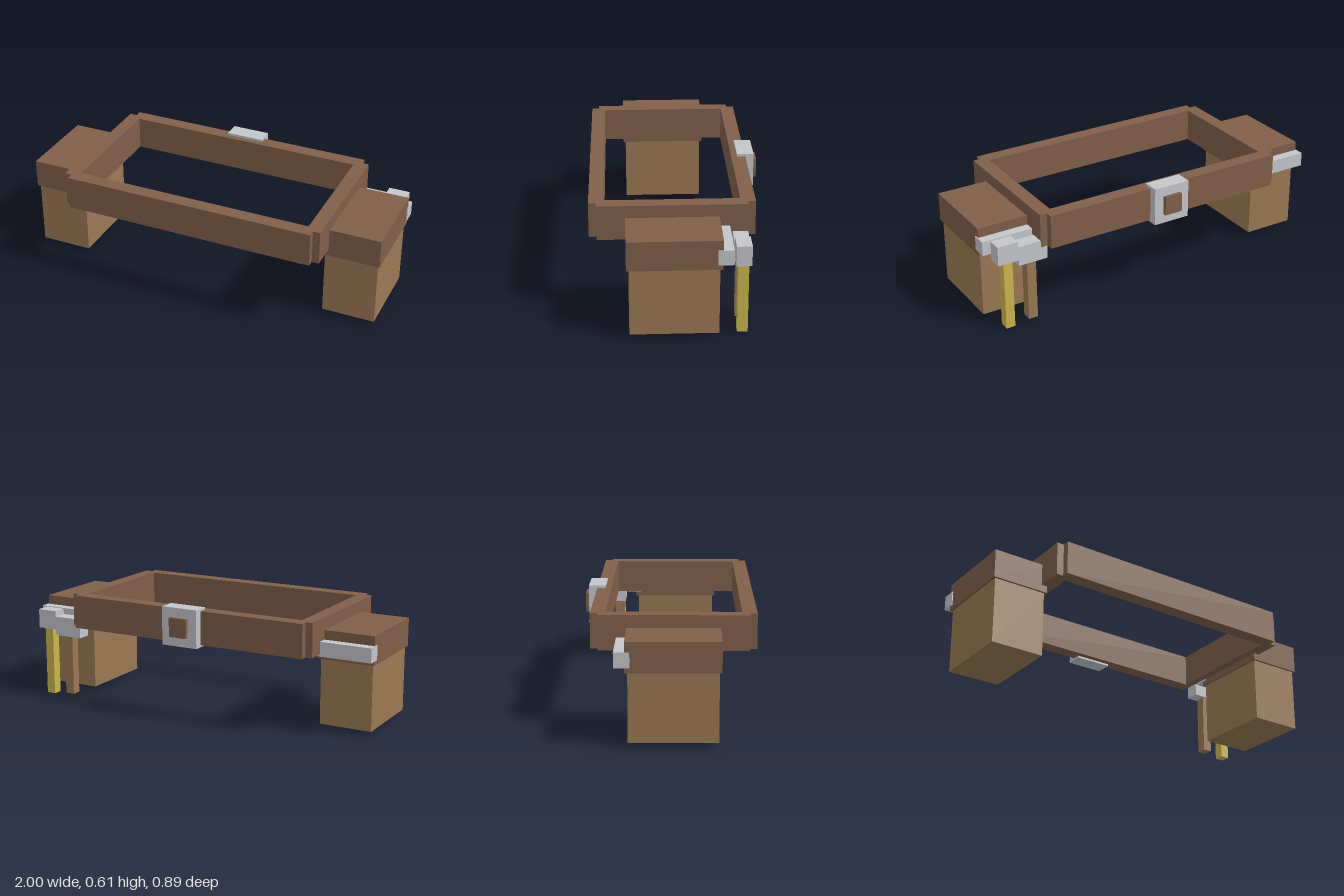
import * as THREE from 'three';

const leather = new THREE.MeshStandardMaterial({ name: 'dark leather', color: 0x7f5f49 });
const tan = new THREE.MeshStandardMaterial({ name: 'tan leather', color: 0x997853 });
const steel = new THREE.MeshStandardMaterial({ name: 'steel', color: 0xc4c5ca });
const brass = new THREE.MeshStandardMaterial({ name: 'brass', color: 0xcab64c });

// Box given by its [min, max] range on each axis
function block(name, material, [x0, x1], [y0, y1], [z0, z1]) {
  const mesh = new THREE.Mesh(new THREE.BoxGeometry(x1 - x0, y1 - y0, z1 - z0), material);
  mesh.position.set((x0 + x1) / 2, (y0 + y1) / 2, (z0 + z1) / 2);
  mesh.name = name;
  return mesh;
}

export function createModel() {
  const model = new THREE.Group();
  model.name = 'toolBelt';

  // Rectangular belt loop
  const beltY = [0.414, 0.594];
  model.add(
    block('beltFront', leather, [-0.682, 0.682], beltY, [0.37, 0.445]),
    block('beltBack', leather, [-0.682, 0.682], beltY, [-0.38, -0.305]),
  );

  // Belt sides, pouches and their metal bars, mirrored
  for (const [side, s] of [['left', 1], ['right', -1]]) {
    const span = (a, b) => (s > 0 ? [a, b] : [-b, -a]);
    model.add(
      block(side + 'BeltSide', leather, span(0.645, 0.72), beltY, [-0.341, 0.407]),
      block(side + 'PouchBody', tan, span(0.698, 0.982), [0.028, 0.38], [-0.185, 0.253]),
      block(side + 'PouchLid', leather, span(0.688, 0.993), [0.377, 0.53], [-0.199, 0.265]),
      block(side + 'PouchBar', steel, span(0.684, 0.998), [0.403, 0.48], [-0.251, -0.174]),
    );
  }

  // Buckle with its centre stud
  model.add(
    block('buckle', steel, [-0.104, 0.1], [0.403, 0.607], [-0.425, -0.336]),
    block('buckleStud', leather, [-0.052, 0.048], [0.454, 0.556], [-0.445, -0.4]),
  );

  // Tool holders and hanging tools behind the left pouch
  const toolZ = [-0.329, -0.276];
  model.add(
    block('innerHolder', steel, [0.684, 0.845], [0.345, 0.45], [-0.34, -0.264]),
    block('outerHolder', steel, [0.845, 0.958], [0.376, 0.48], [-0.34, -0.264]),
    block('innerTool', tan, [0.745, 0.796], [0.015, 0.35], toolZ),
    block('outerTool', brass, [0.875, 0.925], [0, 0.378], toolZ),
  );
  return model;
}
